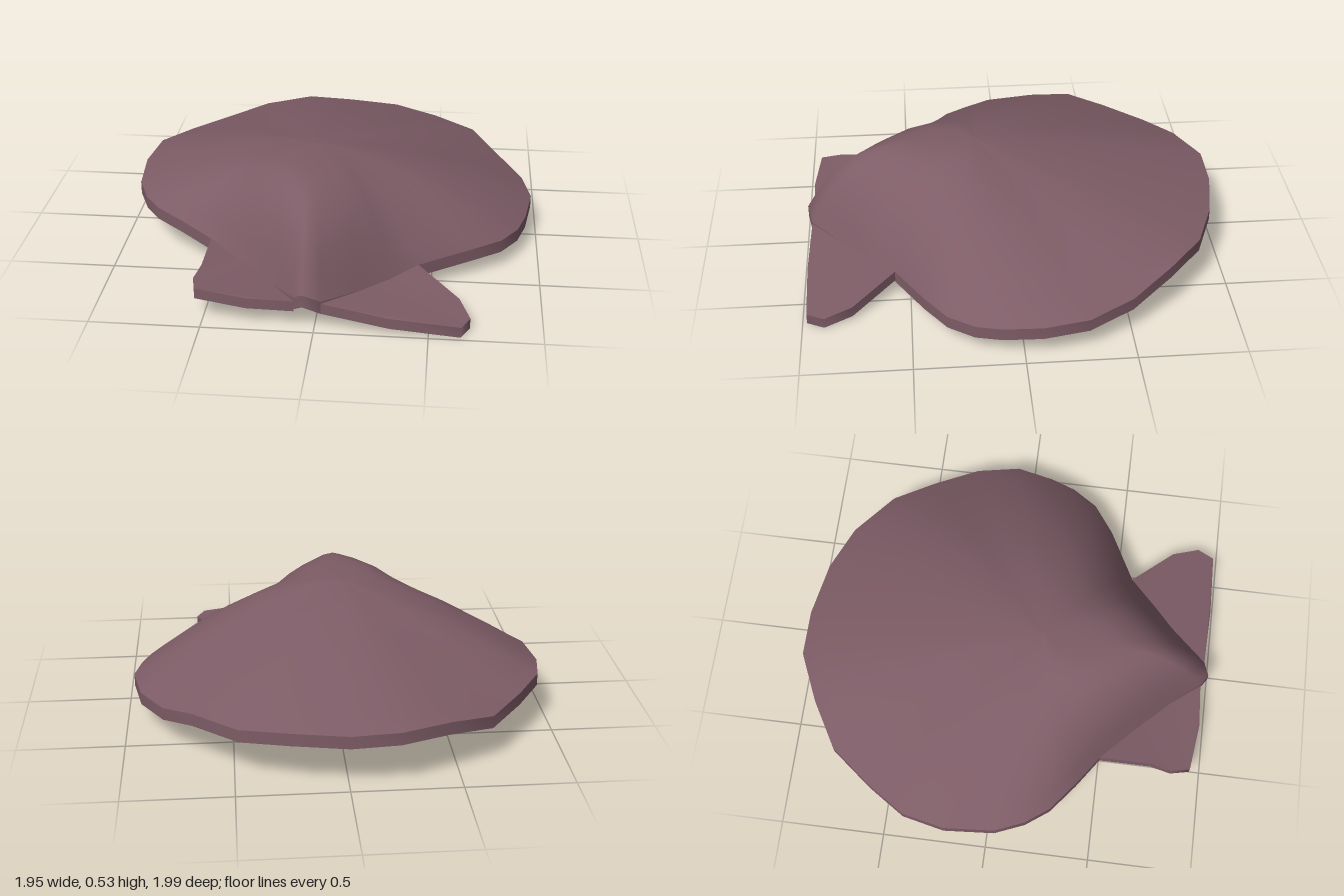
import * as THREE from 'three';

const THICK = 0.06;

// Smooth skin stretched over rows of points
function skin(name, rows, closed, flip, material) {
  const n = rows[0].length, pos = rows.flat(2), idx = [];
  for (let r = 0; r < rows.length - 1; r++) {
    for (let i = 0; i < (closed ? n : n - 1); i++) {
      const j = (i + 1) % n;
      const a = r * n + i, b = r * n + j, c = a + n, d = b + n;
      if (flip) idx.push(a, c, b, b, c, d);
      else idx.push(a, b, c, b, d, c);
    }
  }
  const g = new THREE.BufferGeometry();
  g.setAttribute('position', new THREE.Float32BufferAttribute(pos, 3));
  g.setIndex(idx);
  g.computeVertexNormals();
  const mesh = new THREE.Mesh(g, material);
  mesh.name = name;
  return mesh;
}

const lower = (row, d = THICK) => row.map(([x, y, z]) => [x, y - d, z]);

// Rim of the valve: x, y, z, fullness of the dome above it
const RIM = [
  [-0.22, 0.28, -1.0, 1.2], [0, 0.27, -1.0, 1.2], [0.26, 0.27, -0.95, 1.25],
  [0.48, 0.25, -0.86, 1.3], [0.68, 0.25, -0.69, 1.35], [0.82, 0.19, -0.5, 1.4],
  [0.93, 0.17, -0.29, 1.5], [0.97, 0.17, -0.08, 1.6], [0.94, 0.15, 0.1, 1.75],
  [0.9, 0.14, 0.22, 1.9], [0.82, 0.14, 0.34, 2.0], [0.68, 0.14, 0.44, 2.2],
  [0.44, 0.12, 0.57, 2.8], [0.32, 0.11, 0.69, 3.6], [0.2, 0.11, 0.8, 4.2],
  [0.03, 0.14, 0.97, 4.4], [-0.05, 0.18, 0.99, 4.4], [-0.09, 0.15, 0.96, 4.6],
  [-0.2, 0.13, 0.82, 5.2], [-0.37, 0.15, 0.65, 4.4], [-0.53, 0.17, 0.5, 3.0],
  [-0.68, 0.2, 0.4, 2.2], [-0.82, 0.21, 0.29, 1.8], [-0.9, 0.21, 0.18, 1.6],
  [-0.96, 0.22, 0.04, 1.5], [-0.98, 0.23, -0.2, 1.4], [-0.94, 0.25, -0.4, 1.35],
  [-0.82, 0.24, -0.58, 1.3], [-0.66, 0.23, -0.78, 1.25], [-0.45, 0.27, -0.9, 1.2],
];
const CROWN = [-0.07, 0.53, 0.17];

// Domed valve, hollow below, with a thin lip
function makeValve(material) {
  const group = new THREE.Group();
  group.name = 'valve';
  const rows = [];
  const rings = 14;
  for (let r = 0; r <= rings; r++) {
    const t = Math.max(r / rings, 0.001);
    rows.push(RIM.map(([x, y, z, p]) => [
      THREE.MathUtils.lerp(CROWN[0], x, t),
      y + (CROWN[1] - y) * (1 - t ** p),
      THREE.MathUtils.lerp(CROWN[2], z, t),
    ]));
  }
  const edge = rows[rings];
  group.add(
    skin('outerShell', rows, true, false, material),
    skin('innerShell', rows.map((row) => lower(row)), true, true, material),
    skin('shellLip', [edge, lower(edge)], true, false, material),
  );
  return group;
}

// Flat ear beside the hinge, between a line on the valve and its free edge
function makeEar(name, inner, outer, flip, material) {
  const group = new THREE.Group();
  group.name = name;
  const edge = [inner[0], ...outer, inner[inner.length - 1]];
  group.add(
    skin('earTop', [inner, outer], false, flip, material),
    skin('earUnderside', [lower(inner, 0.05), lower(outer, 0.05)], false, !flip, material),
    skin('earEdge', [edge, lower(edge, 0.05)], false, flip, material),
  );
  return group;
}

export function createModel() {
  const shell = new THREE.MeshStandardMaterial({ color: 0x7d5c66 });
  shell.name = 'dusky mauve';
  const model = new THREE.Group();
  model.name = 'scallopShell';
  model.add(makeValve(shell));
  model.add(makeEar('leftEar',
    [[0.44, 0.12, 0.57], [0.32, 0.11, 0.69], [0.2, 0.11, 0.8], [0.03, 0.13, 0.97]],
    [[0.63, 0.07, 0.77], [0.68, 0.05, 0.9], [0.64, 0.05, 0.98], [0.33, 0.08, 0.985]],
    false, shell));
  model.add(makeEar('rightEar',
    [[-0.53, 0.17, 0.5], [-0.37, 0.15, 0.65], [-0.2, 0.13, 0.82], [-0.09, 0.13, 0.96]],
    [[-0.53, 0.17, 0.75], [-0.55, 0.16, 0.85], [-0.53, 0.16, 0.94], [-0.3, 0.14, 0.97]],
    true, shell));
  return model;
}
